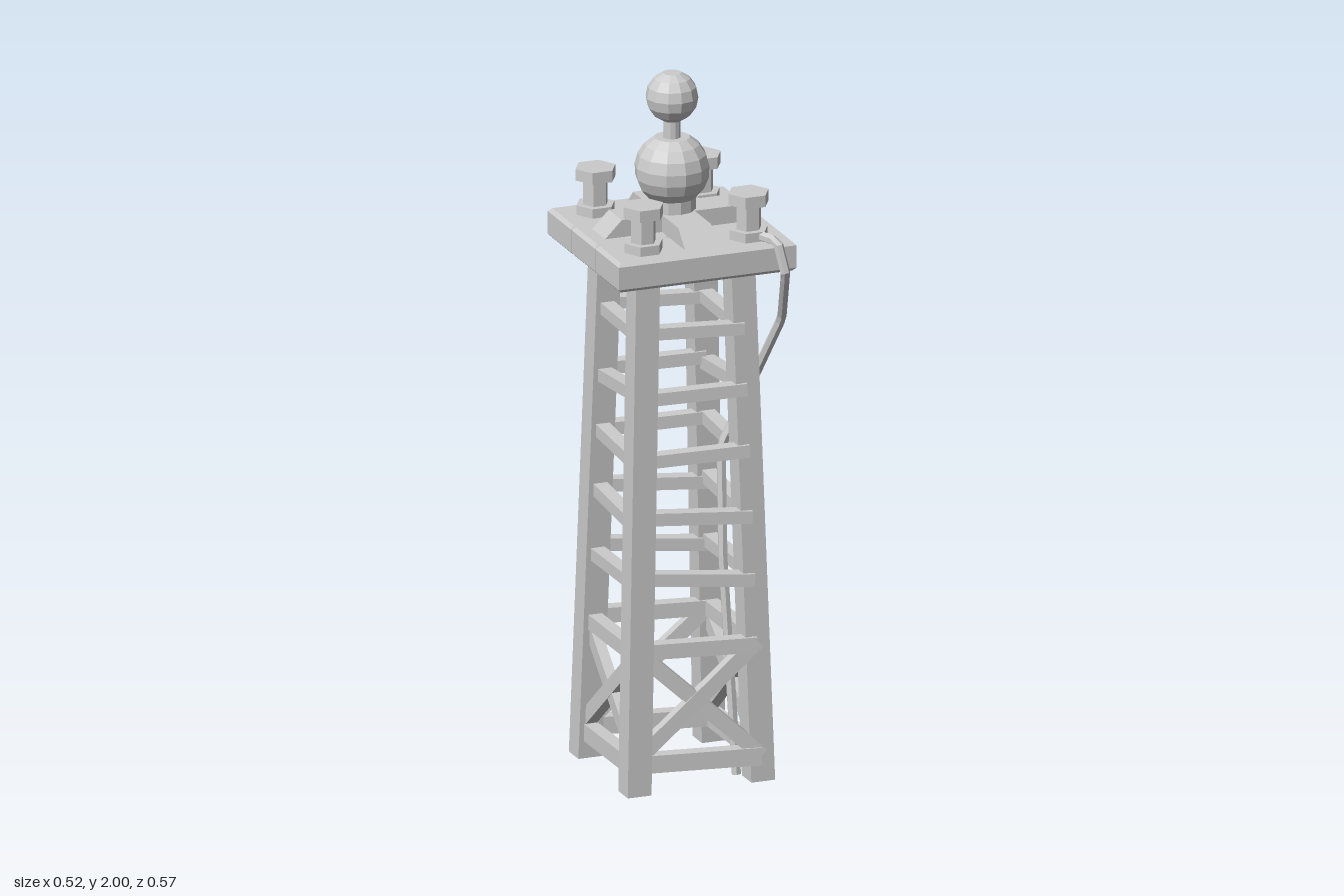
import * as THREE from 'three';

const material = new THREE.MeshStandardMaterial({ color: 0xcccccc, flatShading: true });

function add(parent, name, geometry, x = 0, y = 0, z = 0) {
  const mesh = new THREE.Mesh(geometry, material);
  mesh.name = name;
  mesh.position.set(x, y, z);
  parent.add(mesh);
  return mesh;
}

// Square bar running from a to b, kept upright
function bar(parent, name, a, b, depth, height) {
  const mesh = add(parent, name, new THREE.BoxGeometry(depth, height, a.distanceTo(b)));
  mesh.position.copy(a).lerp(b, 0.5);
  mesh.lookAt(b);
  return mesh;
}

// Plank with chamfered edges, base at y = 0
function plankGeometry(width, height, depth, bevel) {
  const x = width / 2 - bevel, z = depth / 2 - bevel;
  const shape = new THREE.Shape([[-x, -z], [x, -z], [x, z], [-x, z]].map(p => new THREE.Vector2(...p)));
  return new THREE.ExtrudeGeometry(shape, {
    depth: height - 2 * bevel, bevelSize: bevel, bevelThickness: bevel, bevelSegments: 1,
  }).rotateX(-Math.PI / 2).translate(0, bevel, 0);
}

// Faceted ball with flat caps cut at the given angles from the poles
function ballPoints(radius, centre, bottomCap, topCap, bands) {
  return Array.from({ length: bands + 1 }, (_, i) => {
    const a = Math.PI - bottomCap + (topCap + bottomCap - Math.PI) * i / bands;
    return new THREE.Vector2(radius * Math.sin(a), centre + radius * Math.cos(a));
  });
}

const LEG_TOP = 1.48;
const legCentre = y => 0.182 - 0.042 * y / LEG_TOP;

export function createModel() {
  const model = new THREE.Group();
  model.name = 'tower';
  const frame = new THREE.Group();
  frame.name = 'frame';
  frame.position.set(-0.002, 0, -0.027);
  model.add(frame);

  // Four legs leaning inward
  for (const sx of [-1, 1]) for (const sz of [-1, 1]) {
    const geo = new THREE.BoxGeometry(0.07, LEG_TOP, 0.07).translate(0, LEG_TOP / 2, 0);
    const p = geo.attributes.position;
    for (let i = 0; i < p.count; i++) {
      const c = legCentre(p.getY(i));
      p.setX(i, p.getX(i) + sx * c);
      p.setZ(i, p.getZ(i) + sz * c);
    }
    geo.computeVertexNormals();
    add(frame, 'leg', geo);
  }

  // Bars on each side: [y, tilt across x, tilt across z, height]
  const levels = [
    [0.075, 0, 0, 0.05], [0.395, 0, 0, 0.043],
    [0.592, -0.012, 0, 0.036], [0.768, -0.007, -0.016, 0.036],
    [0.943, 0.008, -0.013, 0.036], [1.12, 0.007, 0.013, 0.036], [1.302, 0, -0.005, 0.034],
  ];
  for (const s of [-1, 1]) {
    for (const alongX of [true, false]) {
      const point = (u, y) => {
        const c = legCentre(y);
        return alongX ? new THREE.Vector3(u * c, y, s * c) : new THREE.Vector3(s * c, y, u * c);
      };
      for (const [y, tiltX, tiltZ, height] of levels) {
        const t = alongX ? tiltX : tiltZ;
        bar(frame, 'rung', point(-1, y - t), point(1, y + t), 0.04, height);
      }
      // Crossed braces near the ground
      bar(frame, 'crossBrace', point(-1, 0.075), point(1, 0.405), 0.034, 0.042);
      bar(frame, 'crossBrace', point(-1, 0.405), point(1, 0.075), 0.03, 0.042);
    }
  }

  // Platform of three planks
  for (const i of [-1, 0, 1]) {
    add(frame, 'plank', plankGeometry(0.523, 0.085, 0.173, 0.01), 0, 1.476, i * 0.176);
  }

  // Hexagonal bolts at the platform corners
  for (const sx of [-1, 1]) for (const sz of [-1, 1]) {
    const bolt = new THREE.Group();
    bolt.name = 'bolt';
    bolt.position.set(sx * 0.155, 0, sz * 0.176);
    frame.add(bolt);
    for (const [name, r, y0, y1] of [
      ['boltBase', 0.056, 1.555, 1.588], ['boltShank', 0.036, 1.58, 1.67], ['boltHead', 0.0587, 1.66, 1.693],
    ]) {
      const geo = new THREE.CylinderGeometry(r, r, y1 - y0, 6).rotateY(Math.PI / 6);
      add(bolt, name, geo, 0, (y0 + y1) / 2, 0);
    }
  }

  // Cross-shaped mount with sloped ends
  const profile = new THREE.Shape([[-0.222, 0], [0.222, 0], [0.167, 0.055], [-0.167, 0.055]]
    .map(p => new THREE.Vector2(...p)));
  for (const turn of [0, Math.PI / 2]) {
    const geo = new THREE.ExtrudeGeometry(profile, { depth: 0.096, bevelEnabled: false }).translate(0, 0, -0.048);
    add(frame, 'mountArm', geo, 0, 1.555 - (turn ? 0.0005 : 0), 0).rotation.y = turn;
  }

  // Finial: collar, large ball, stem and small ball
  const v = (x, y) => new THREE.Vector2(x, y);
  add(frame, 'finial', new THREE.LatheGeometry([
    v(0, 1.6), v(0.066, 1.6), v(0.066, 1.65),
    ...ballPoints(0.104, 1.724, 0.7, 0.5, 6), v(0.024, 1.815),
    v(0.024, 1.865), ...ballPoints(0.073, 1.932, 0.36, 0.36, 6), v(0, 2.0),
  ], 12));

  // Loose cable hanging over the platform edge and down inside the legs
  const path = new THREE.CatmullRomCurve3([
    [0.17, 1.575, 0.18], [0.2, 1.572, 0.245], [0.215, 1.485, 0.266], [0.248, 1.32, 0.157],
    [0.21, 1.14, 0.065], [0.115, 0.93, 0.042], [0.108, 0.62, 0.072], [0.13, 0.005, 0.117],
  ].map(p => new THREE.Vector3(...p)), false, 'catmullrom', 0);
  add(model, 'cable', new THREE.TubeGeometry(path, 64, 0.014, 6));

  return model;
}
